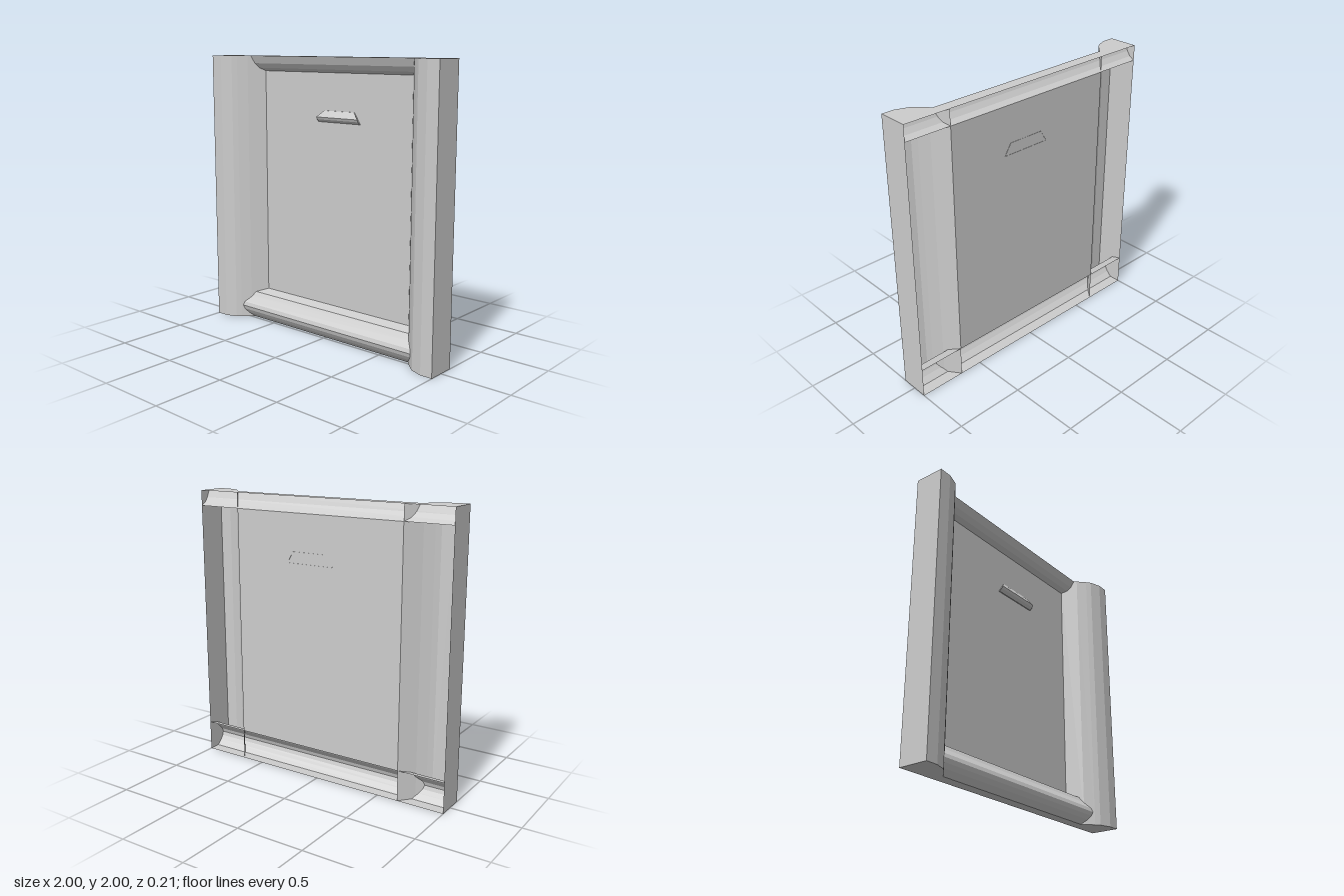
import * as THREE from 'three';

const stone = new THREE.MeshStandardMaterial({ color: 0xcccccc, flatShading: true, side: THREE.DoubleSide });
stone.name = 'plain grey';

const BACK = -0.105;

// Sweeps an open profile from t0 to t1; place(u, v, t) gives the 3D point. Caps are optional.
function sweep(name, profile, t0, t1, place, caps) {
  const pos = [];
  const tri = (...pts) => pts.forEach((p) => pos.push(...p));
  for (let i = 0; i < profile.length - 1; i++) {
    const [p, q] = [profile[i], profile[i + 1]];
    const a = place(...p, t0), b = place(...q, t0);
    const c = place(...q, t1), d = place(...p, t1);
    tri(a, d, c);
    tri(a, c, b);
  }
  if (caps) {
    const contour = profile.map(([u, v]) => new THREE.Vector2(u, v));
    for (const [i, j, k] of THREE.ShapeUtils.triangulateShape(contour, [])) {
      tri(...[i, j, k].map((n) => place(...profile[n], t0)));
      tri(...[k, j, i].map((n) => place(...profile[n], t1)));
    }
  }
  const geo = new THREE.BufferGeometry();
  geo.setAttribute('position', new THREE.Float32BufferAttribute(pos, 3));
  geo.computeVertexNormals();
  const mesh = new THREE.Mesh(geo, stone);
  mesh.name = name;
  return mesh;
}

export function createModel() {
  const group = new THREE.Group();
  group.name = 'wallPanel';

  // Flat recessed panel between the pillars and mouldings
  const panel = new THREE.Mesh(new THREE.PlaneGeometry(1.322, 1.67), stone);
  panel.name = 'backPanel';
  panel.position.set(0.006, 1.055, BACK);
  group.add(panel);

  // Rounded side pillars, hollow at the back, closed at top and bottom
  const upright = (u, v, t) => [u, t, v];
  const pillar = (s) => [
    [1, BACK], [1, 0.107], [0.912, 0.107], [0.828, 0.078], [0.797, 0.052],
    [0.742, -0.002], [s > 0 ? 0.667 : 0.655, BACK],
  ].map(([x, z]) => [s * x, z]);
  group.add(sweep('leftPillar', pillar(1), 0, 2, upright, true));
  group.add(sweep('rightPillar', pillar(-1).reverse(), 0, 2, upright, true));

  // Mouldings run the full width, open at the back
  const across = (z, y, t) => [t, y, z];
  const baseProfile = [
    [BACK, 0], [-0.022, 0], [0.014, 0.035], [0.034, 0.064], [0.043, 0.092],
    [0.034, 0.12], [-0.008, 0.165], [-0.03, 0.198], [BACK, 0.22],
  ];
  const topProfile = [[BACK, 1.89], [-0.068, 1.912], [-0.043, 1.945], [-0.02, 2], [BACK, 2]];
  group.add(sweep('baseMoulding', baseProfile, -1, 1, across, false));
  group.add(sweep('topMoulding', topProfile, -1, 1, across, false));

  // Small ledge with slanted upper corners
  const ledgeProfile = [
    [-0.107, 1.547], [-0.098, 1.547], [-0.078, 1.565], [-0.07, 1.582],
    [-0.098, 1.627], [-0.107, 1.627],
  ];
  const slanted = (z, y, t) => {
    const inset = 0.05 * THREE.MathUtils.clamp((y - 1.582) / 0.045, 0, 1);
    return [0.054 + t * (0.184 - inset), y, z];
  };
  group.add(sweep('ledge', ledgeProfile, -1, 1, slanted, true));

  return group;
}
